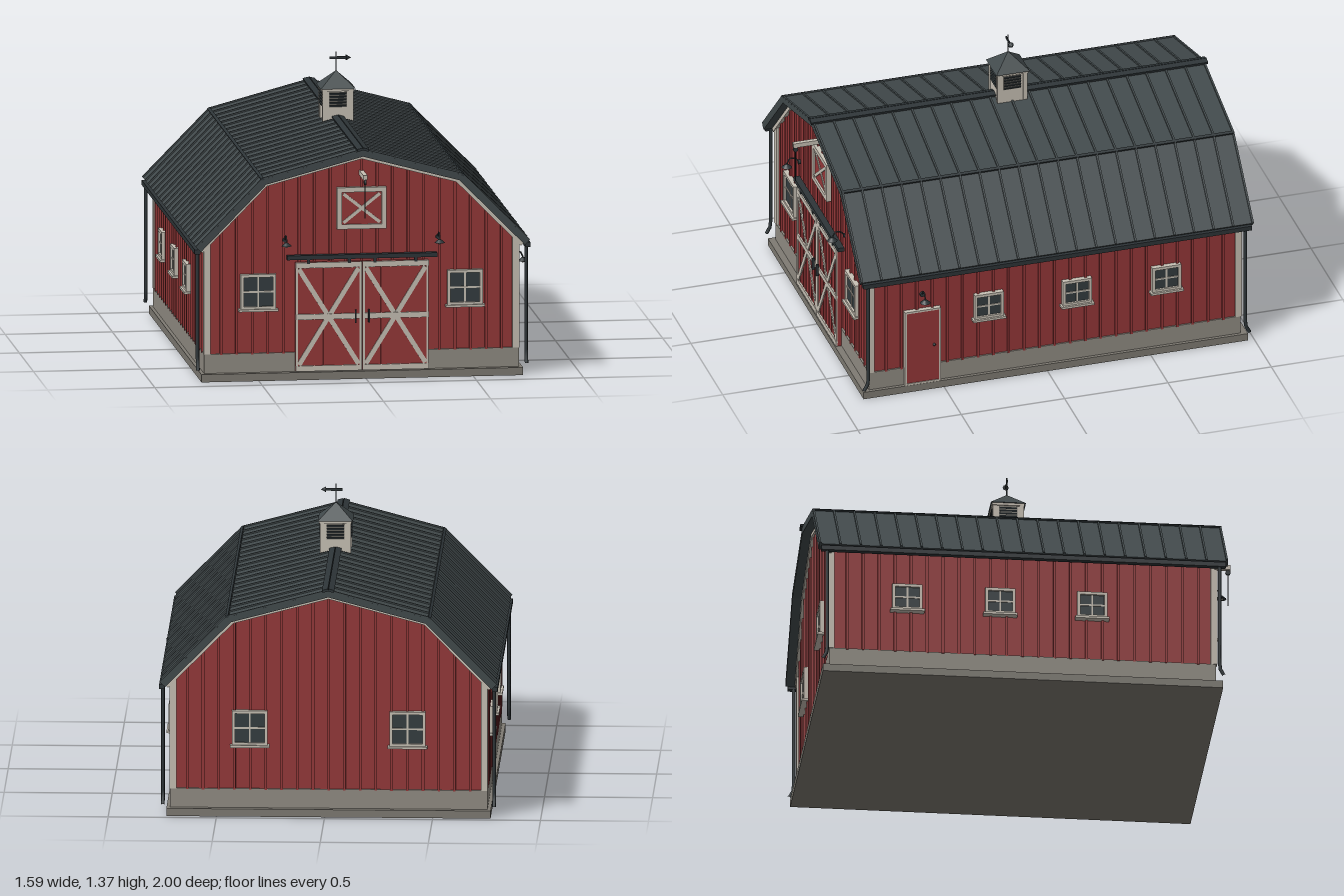
import * as THREE from 'three';

const mat = (name, color, side = THREE.FrontSide) => {
  const m = new THREE.MeshStandardMaterial({ color, side });
  m.name = name;
  return m;
};
const red = mat('barn red', 0x963839);
const trim = mat('off-white trim', 0xc9c2b6);
const roofing = mat('roof metal', 0x424a4c);
const dark = mat('dark metal', 0x2e3538);
const stone = mat('foundation stone', 0x928d84);
const concrete = mat('slab concrete', 0x7f7b73);
const glass = mat('window glass', 0x343d40);

const HX = 0.727, HZ = 0.89; // half width and half length of the walls
const BASE = 0.125;          // bottom of the siding

function mesh(parent, name, geo, material, x = 0, y = 0, z = 0) {
  const m = new THREE.Mesh(geo, material);
  m.name = name;
  m.position.set(x, y, z);
  parent.add(m);
  return m;
}
const box = (parent, name, material, w, h, d, x, y, z) =>
  mesh(parent, name, new THREE.BoxGeometry(w, h, d), material, x, y, z);

// Box running from a to b in the xy plane
function bar(parent, name, material, a, b, thick, depth, z) {
  const dx = b[0] - a[0], dy = b[1] - a[1];
  const m = box(parent, name, material, Math.hypot(dx, dy), thick, depth, (a[0] + b[0]) / 2, (a[1] + b[1]) / 2, z);
  m.rotation.z = Math.atan2(dy, dx);
  return m;
}
function tube(parent, name, material, pts, r, seg = 12) {
  const curve = new THREE.CatmullRomCurve3(pts.map(p => new THREE.Vector3(...p)), false, 'catmullrom', 0.2);
  return mesh(parent, name, new THREE.TubeGeometry(curve, seg, r, 8), material);
}

// Gambrel outline, moved inward by t: eave, knee, ridge, knee, eave
function gambrel(t) {
  const e = [0.775 - 0.713 * t, 0.635 - 0.702 * t];
  const k = [0.465 - 0.522 * t, 0.95 - 0.895 * t];
  return [e, k, [0, 1.075 - 1.035 * t], [-k[0], k[1]], [-e[0], e[1]]];
}
// Height of the roof underside over x
function underside(x) {
  const [e, k, r] = gambrel(0.028), a = Math.abs(x);
  return a < k[0] ? r[1] + (k[1] - r[1]) * a / k[0]
    : k[1] + (e[1] - k[1]) * (a - k[0]) / (e[0] - k[0]);
}
function extrude(parent, name, material, pts, z0, z1) {
  const shape = new THREE.Shape(pts.map(p => new THREE.Vector2(...p)));
  return mesh(parent, name, new THREE.ExtrudeGeometry(shape, { depth: z1 - z0, bevelEnabled: false }), material, 0, 0, z0);
}

// Rectangular frame around a centre
function frame(parent, name, material, w, h, t, d, x, y, z) {
  for (const s of [-1, 1]) {
    box(parent, name, material, w, t, d, x, y + s * (h - t) / 2, z);
    box(parent, name, material, t, h - 2 * t, d, x + s * (w - t) / 2, y, z);
  }
}
function cross(parent, name, w, h, t, x, y, z) {
  for (const s of [-1, 1])
    bar(parent, name, trim, [x - w / 2, y - s * h / 2], [x + w / 2, y + s * h / 2], t, 0.006, z + s * 0.0005);
}
function windowUnit(wall, x, y, w, h) {
  const g = new THREE.Group();
  g.name = 'window';
  g.position.set(x, y, 0);
  wall.add(g);
  box(g, 'windowGlass', glass, w - 0.01, h - 0.01, 0.014, 0, 0, 0.007);
  frame(g, 'windowFrame', trim, w, h, 0.014, 0.024, 0, 0, 0.012);
  box(g, 'mullion', trim, 0.008, h - 0.02, 0.018, 0, 0, 0.009);
  box(g, 'muntin', trim, w - 0.02, 0.008, 0.018, 0, 0, 0.009);
  box(g, 'windowSill', trim, w + 0.018, 0.011, 0.034, 0, -h / 2 - 0.003, 0.017);
}
// Gooseneck barn lamp
function lamp(wall, x, y, out) {
  const g = new THREE.Group();
  g.name = 'barnLamp';
  g.position.set(x, y, 0);
  wall.add(g);
  mesh(g, 'lampMount', new THREE.CylinderGeometry(0.011, 0.011, 0.012, 12), dark, 0, 0.012, 0.01).rotation.x = Math.PI / 2;
  tube(g, 'lampArm', dark, [[0, 0.012, 0.01], [0, 0.035, out * 0.45], [0, 0.036, out * 0.8], [0, 0.012, out]], 0.0035);
  mesh(g, 'lampShade', new THREE.CylinderGeometry(0.006, 0.024, 0.016, 16), dark, 0, 0.002, out);
  mesh(g, 'lampBulb', new THREE.SphereGeometry(0.009, 10, 8), trim, 0, -0.005, out);
}
// Group whose local +z points out of a wall
function wallGroup(parent, name, angle, dist) {
  const g = new THREE.Group();
  g.name = name;
  g.rotation.y = angle;
  g.position.set(Math.sin(angle) * dist, 0, Math.cos(angle) * dist);
  parent.add(g);
  return g;
}
function battens(wall, half, count, top) {
  for (let i = 1; i < count; i++) {
    const x = -half + 2 * half * i / count, h = top(x) - BASE + 0.004;
    box(wall, 'batten', red, 0.012, h, 0.02, x, BASE - 0.004 + h / 2, 0);
  }
}

function slidingDoor(wall, s) {
  const g = new THREE.Group();
  g.name = 'slidingDoor';
  g.position.set(s * 0.156, 0.295, 0.02);
  wall.add(g);
  const w = 0.308, h = 0.51;
  box(g, 'doorPanel', red, w, h, 0.02, 0, 0, 0);
  for (let i = 1; i < 7; i++) box(g, 'doorBatten', red, 0.006, h, 0.004, -w / 2 + w * i / 7, 0, 0.011);
  for (const y of [-1, 1]) box(g, 'doorRail', trim, w, 0.026, 0.01, 0, y * (h / 2 - 0.013), 0.013);
  for (const x of [-1, 1]) box(g, 'doorStile', trim, 0.01, h, 0.009, x * (w / 2 - 0.005), 0, 0.012);
  box(g, 'doorMidRail', trim, w, 0.026, 0.01, 0, 0, 0.013);
  cross(g, 'doorBrace', w - 0.03, h - 0.06, 0.022, 0, 0, 0.013);
  box(g, 'doorHandle', dark, 0.007, 0.06, 0.014, -s * 0.125, 0, 0.023);
}

function cupola(barn) {
  const g = new THREE.Group();
  g.name = 'cupola';
  barn.add(g);
  box(g, 'cupolaBody', trim, 0.135, 0.17, 0.135, 0, 1.125, 0);
  for (const x of [-1, 1]) for (const z of [-1, 1])
    box(g, 'cupolaPost', trim, 0.02, 0.15, 0.02, x * 0.062, 1.135, z * 0.062);
  box(g, 'cupolaCornice', trim, 0.15, 0.012, 0.15, 0, 1.206, 0);
  for (let i = 0; i < 4; i++) {
    const side = wallGroup(g, 'louverSide', i * Math.PI / 2, 0.0675);
    box(side, 'louverRecess', concrete, 0.084, 0.072, 0.004, 0, 1.16, 0.001);
    for (let j = 0; j < 5; j++)
      box(side, 'louver', dark, 0.08, 0.008, 0.008, 0, 1.132 + j * 0.014, 0.003).rotation.x = 0.4;
  }
  const cap = new THREE.ConeGeometry(0.163 / Math.SQRT2, 0.075, 4, 1).toNonIndexed();
  cap.computeVertexNormals();
  mesh(g, 'cupolaRoof', cap, roofing, 0, 1.249, 0).rotation.y = Math.PI / 4;
  mesh(g, 'vanePole', new THREE.CylinderGeometry(0.003, 0.003, 0.1, 8), dark, 0, 1.323, 0);
  box(g, 'vaneArrow', dark, 0.075, 0.012, 0.005, 0.008, 1.345, 0);
  mesh(g, 'vaneTip', new THREE.ConeGeometry(0.014, 0.024, 8), dark, 0.058, 1.345, 0).rotation.z = -Math.PI / 2;
}

export function createModel() {
  const root = new THREE.Group();
  root.name = 'barn';
  const barn = new THREE.Group();
  barn.name = 'barnBody';
  barn.position.set(-0.018, 0, -0.04);
  root.add(barn);

  // Slab, foundation and wall body
  box(barn, 'slab', concrete, 1.5, 0.036, 1.86, 0, 0.018, 0);
  box(barn, 'foundation', stone, 1.468, 0.092, 1.798, 0, 0.08, 0);
  const inner = gambrel(0.028).slice(1, 4), eaveY = underside(HX);
  extrude(barn, 'walls', red, [[-HX, BASE], [HX, BASE], [HX, eaveY], ...inner, [-HX, eaveY]], -HZ, HZ);

  // Roof shell, standing seams, knee flashing and ridge cap
  const outer = gambrel(0);
  extrude(barn, 'roof', roofing, [...outer, ...gambrel(0.028).reverse()], -0.95, 0.95);
  for (let i = 0; i <= 20; i++) {
    const z = -0.945 + 1.89 * i / 20;
    for (let j = 0; j < 4; j++) bar(barn, 'roofSeam', roofing, outer[j], outer[j + 1], 0.014, 0.009, z);
  }
  for (const s of [-1, 1]) {
    mesh(barn, 'kneeFlashing', new THREE.BoxGeometry(0.014, 0.012, 1.9), dark, s * 0.467, 0.95, 0).rotation.z = -s * 0.5;
    bar(barn, 'ridgeCap', dark, [0, 1.083], [s * 0.027, 1.076], 0.012, 1.92, 0);
    // Gutter and downspouts
    box(barn, 'gutter', dark, 0.026, 0.022, 1.88, s * 0.77, 0.614, 0);
    for (const e of [-1, 1])
      tube(barn, 'downspout', dark, [[s * 0.766, 0.605, e * 0.912], [s * 0.766, 0.35, e * 0.912],
        [s * 0.766, 0.1, e * 0.912], [s * 0.766, 0.055, e * 0.932]], 0.0085, 16);
    // Rake boards under both roof ends
    extrude(barn, 'rakeBoard', trim, [...gambrel(0.027), ...gambrel(0.045).reverse()],
      s > 0 ? HZ : -HZ - 0.018, s > 0 ? HZ + 0.018 : -HZ);
    for (const e of [-1, 1])
      box(barn, 'cornerBoard', trim, 0.032, 0.52, 0.03, s * 0.72, BASE + 0.26, e * 0.889);
  }
  cupola(barn);

  // Gable walls
  const front = wallGroup(barn, 'frontWall', 0, HZ);
  const back = wallGroup(barn, 'backWall', Math.PI, HZ);
  for (const wall of [front, back]) battens(wall, HX, 20, underside);
  for (const s of [-1, 1]) {
    windowUnit(front, s * 0.482, 0.415, 0.165, 0.165);
    windowUnit(back, s * 0.365, 0.415, 0.165, 0.165);
    lamp(front, s * 0.357, 0.642, 0.07);
    slidingDoor(front, s);
  }
  box(front, 'doorTrack', dark, 0.7, 0.02, 0.03, 0, 0.574, 0.025);
  for (const x of [-0.25, -0.06, 0.06, 0.25]) box(front, 'trackHanger', dark, 0.014, 0.03, 0.008, x, 0.56, 0.035);

  // Loft door with hoist beam above
  box(front, 'loftDoor', red, 0.22, 0.185, 0.014, 0, 0.798, 0.008);
  frame(front, 'loftFrame', trim, 0.23, 0.195, 0.022, 0.024, 0, 0.798, 0.012);
  cross(front, 'loftBrace', 0.17, 0.135, 0.015, 0, 0.798, 0.017);
  box(front, 'hoistBeam', trim, 0.02, 0.022, 0.15, 0, 0.962, 0.075);
  mesh(front, 'hoistPulley', new THREE.CylinderGeometry(0.012, 0.012, 0.01, 14), dark, 0, 0.938, 0.138).rotation.z = Math.PI / 2;
  mesh(front, 'hoistRope', new THREE.CylinderGeometry(0.002, 0.002, 0.16, 6), dark, 0, 0.85, 0.138);

  // Long side walls
  const left = wallGroup(barn, 'leftWall', Math.PI / 2, HX);
  const right = wallGroup(barn, 'rightWall', -Math.PI / 2, HX);
  for (const [wall, dir] of [[left, -1], [right, 1]]) {
    battens(wall, HZ, 24, () => eaveY - 0.005);
    for (const z of [0.322, -0.105, -0.537]) windowUnit(wall, dir * z, 0.395, 0.14, 0.13);
  }

  // Side door with lamp
  box(left, 'sideDoor', red, 0.16, 0.38, 0.022, -0.643, 0.23, 0.008);
  frame(left, 'sideDoorFrame', trim, 0.174, 0.389, 0.009, 0.026, -0.643, 0.231, 0.01);
  mesh(left, 'doorKnob', new THREE.SphereGeometry(0.007, 10, 8), dark, -0.588, 0.235, 0.024);
  lamp(left, -0.643, 0.492, 0.06);
  return root;
}
